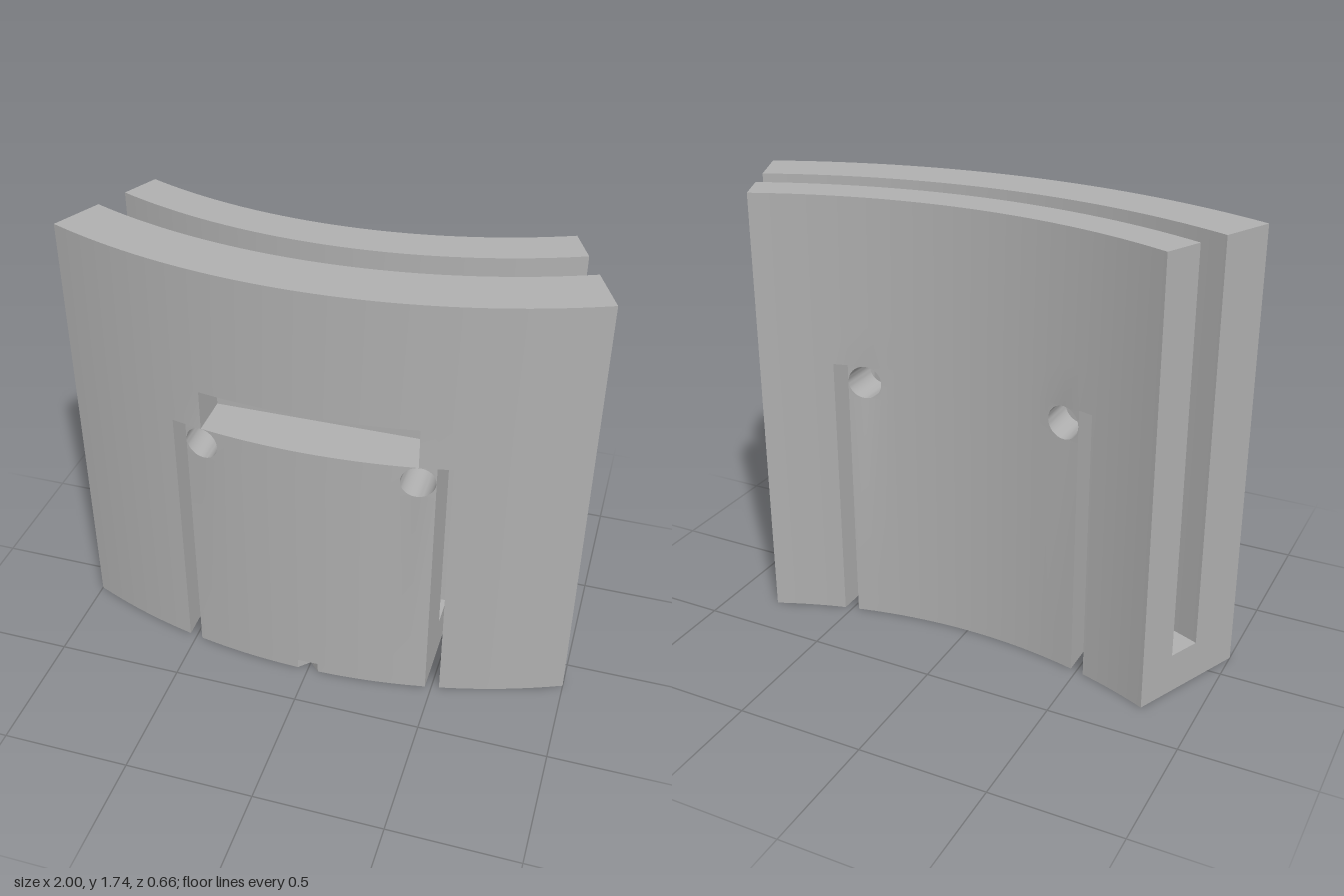
import * as THREE from 'three';
import { toCreasedNormals } from 'three/addons/utils/BufferGeometryUtils.js';

const CENTRE_Z = -2.156;                       // axis of the curved block
const HALF_ANGLE = Math.asin(1 / 2.486);
const RADII = [1.992, 2.146, 2.276, 2.3, 2.486]; // back, slot back, slot front, pocket back, front
const SLIT = [0.475, 0.53], SLIT_TOP = 1.085;
const POCKET = { halfWidth: 0.41, bottom: 1.085, top: 1.245, z: 0.125 };
const SLOT_FLOOR = 0.16;
const HOLE = { x: 0.41, y: 1.02, r: 0.064, x0: 0.345, x1: 0.475, y0: 0.955, y1: 1.085 };
const NOTCH = 0.042;

// Grid lines across the width (mirrored) and up the height
function widthLines() {
  const stops = [0, NOTCH, HOLE.x0, HOLE.x, SLIT[0], SLIT[1], 1];
  const parts = [1, 6, 1, 1, 1, 9];
  const half = [];
  parts.forEach((n, s) => {
    for (let i = 1; i <= n; i++) half.push(i === n ? stops[s + 1] : stops[s] + (stops[s + 1] - stops[s]) * i / n);
  });
  return [...half.map((x) => -x).reverse(), 0, ...half];
}
const XS = widthLines();
const YS = [0, NOTCH, SLOT_FLOOR, HOLE.y0, HOLE.y1, POCKET.top, 1.74];

// Depth of curved surface k at x
function depth(x, k) {
  if (k === 3 && Math.abs(x) <= POCKET.halfWidth + 1e-6) return POCKET.z;
  return Math.sqrt(RADII[k] ** 2 - x * x) + CENTRE_Z;
}

// Grid corner; the wings fan out to radial ends, the bottom row is notched in front
function corner(i, j, k, row) {
  let x = XS[i];
  const a = Math.abs(x);
  if (a > SLIT[1]) {
    const end = RADII[k] * Math.sin(HALF_ANGLE);
    x = Math.sign(x) * (SLIT[1] + (a - SLIT[1]) / (1 - SLIT[1]) * (end - SLIT[1]));
  }
  const inset = row === 0 && x === 0 && k === 4 ? NOTCH : 0;
  return [x, YS[j], depth(x, k) - inset];
}

// Which cells of the block hold material
function solid(i, j, l) {
  if (i < 0 || j < 0 || l < 0 || i >= XS.length - 1 || j >= YS.length - 1 || l > 3) return false;
  const x = Math.abs(XS[i] + XS[i + 1]) / 2, y = (YS[j] + YS[j + 1]) / 2;
  if (x > SLIT[0] && x < SLIT[1] && y < SLIT_TOP) return false;
  if (l === 1 && y > SLOT_FLOOR) return false;
  if (l === 3 && x < POCKET.halfWidth && y > POCKET.bottom && y < POCKET.top) return false;
  return true;
}
function holeCell(i, j) {
  const x = Math.abs(XS[i] + XS[i + 1]) / 2;
  return YS[j] === HOLE.y0 && x > HOLE.x0 && x < HOLE.x1;
}

// Cell faces: outward direction and corner offsets, counter-clockwise
const FACES = [
  [[1, 0, 0], [[1, 0, 1], [1, 0, 0], [1, 1, 0], [1, 1, 1]]],
  [[-1, 0, 0], [[0, 0, 0], [0, 0, 1], [0, 1, 1], [0, 1, 0]]],
  [[0, 1, 0], [[0, 1, 1], [1, 1, 1], [1, 1, 0], [0, 1, 0]]],
  [[0, -1, 0], [[0, 0, 0], [1, 0, 0], [1, 0, 1], [0, 0, 1]]],
  [[0, 0, 1], [[0, 0, 1], [1, 0, 1], [1, 1, 1], [0, 1, 1]]],
  [[0, 0, -1], [[1, 0, 0], [0, 0, 0], [0, 1, 0], [1, 1, 0]]],
];

function toMesh(points, material, name) {
  const geo = new THREE.BufferGeometry();
  geo.setAttribute('position', new THREE.Float32BufferAttribute(points.flat(), 3));
  const mesh = new THREE.Mesh(toCreasedNormals(geo, 0.45), material);
  mesh.name = name;
  return mesh;
}
const quad = (out, a, b, c, d) => out.push(a, b, c, a, c, d);

// Round hole: pierced skins on each curved surface
function holeSkins(out, side) {
  const cx = side * HOLE.x, w = HOLE.x1 - HOLE.x;
  const shape = new THREE.Shape([[-w, HOLE.y0], [0, HOLE.y0], [w, HOLE.y0], [w, HOLE.y1], [0, HOLE.y1], [-w, HOLE.y1]]
    .map(([x, y]) => new THREE.Vector2(cx + x, y)));
  const ring = new THREE.Path();
  ring.absarc(cx, HOLE.y, HOLE.r, 0, Math.PI * 2, true);
  shape.holes.push(ring);
  const flat = new THREE.ShapeGeometry(shape, 40);
  const p = flat.attributes.position, idx = flat.index.array;
  for (const [k, front] of [[0, false], [1, true], [2, false], [4, true]]) {
    const at = (n) => [p.getX(n), p.getY(n), depth(p.getX(n), k)];
    for (let t = 0; t < idx.length; t += 3) {
      const [a, b, c] = [at(idx[t]), at(idx[t + 1]), at(idx[t + 2])];
      if (front) out.push(a, b, c); else out.push(a, c, b);
    }
  }
}

// Round hole: inner walls through the front and back shells
function holeWalls(out, side) {
  const N = 40;
  const at = (n, k) => {
    const t = (n / N) * Math.PI * 2, x = side * HOLE.x + HOLE.r * Math.cos(t);
    return [x, HOLE.y + HOLE.r * Math.sin(t), depth(x, k)];
  };
  for (const [k0, k1] of [[0, 1], [2, 4]]) {
    const surf = k1;
    for (let n = 0; n < N; n++) quad(out, at(n, k0), at(n, surf), at(n + 1, surf), at(n + 1, k0));
  }
}

export function createModel() {
  const group = new THREE.Group();
  group.name = 'curvedSlottedBlock';
  const grey = new THREE.MeshStandardMaterial({ color: 0xb0b0b0 });
  grey.name = 'plain grey';

  // Curved body with slot, slits, pocket and notch
  const body = [];
  for (let i = 0; i < XS.length - 1; i++)
    for (let j = 0; j < YS.length - 1; j++)
      for (let l = 0; l < 4; l++) {
        if (!solid(i, j, l)) continue;
        for (const [d, offsets] of FACES) {
          if (solid(i + d[0], j + d[1], l + d[2])) continue;
          if (d[2] !== 0 && holeCell(i, j)) continue;
          quad(body, ...offsets.map(([u, v, w]) => corner(i + u, j + v, l + w, j)));
        }
      }

  // Ceiling of the small V notch
  const m = XS.indexOf(0);
  const left = corner(m - 1, 1, 4, 1), right = corner(m + 1, 1, 4, 1);
  const outer = corner(m, 1, 4, 1), inner = corner(m, 1, 4, 0);
  body.push(left, inner, outer, outer, inner, right);

  for (const side of [-1, 1]) holeSkins(body, side);
  group.add(toMesh(body, grey, 'curvedBody'));

  // Hole linings
  for (const side of [-1, 1]) {
    const walls = [];
    holeWalls(walls, side);
    group.add(toMesh(walls, grey, side > 0 ? 'leftHoleWall' : 'rightHoleWall'));
  }
  return group;
}
